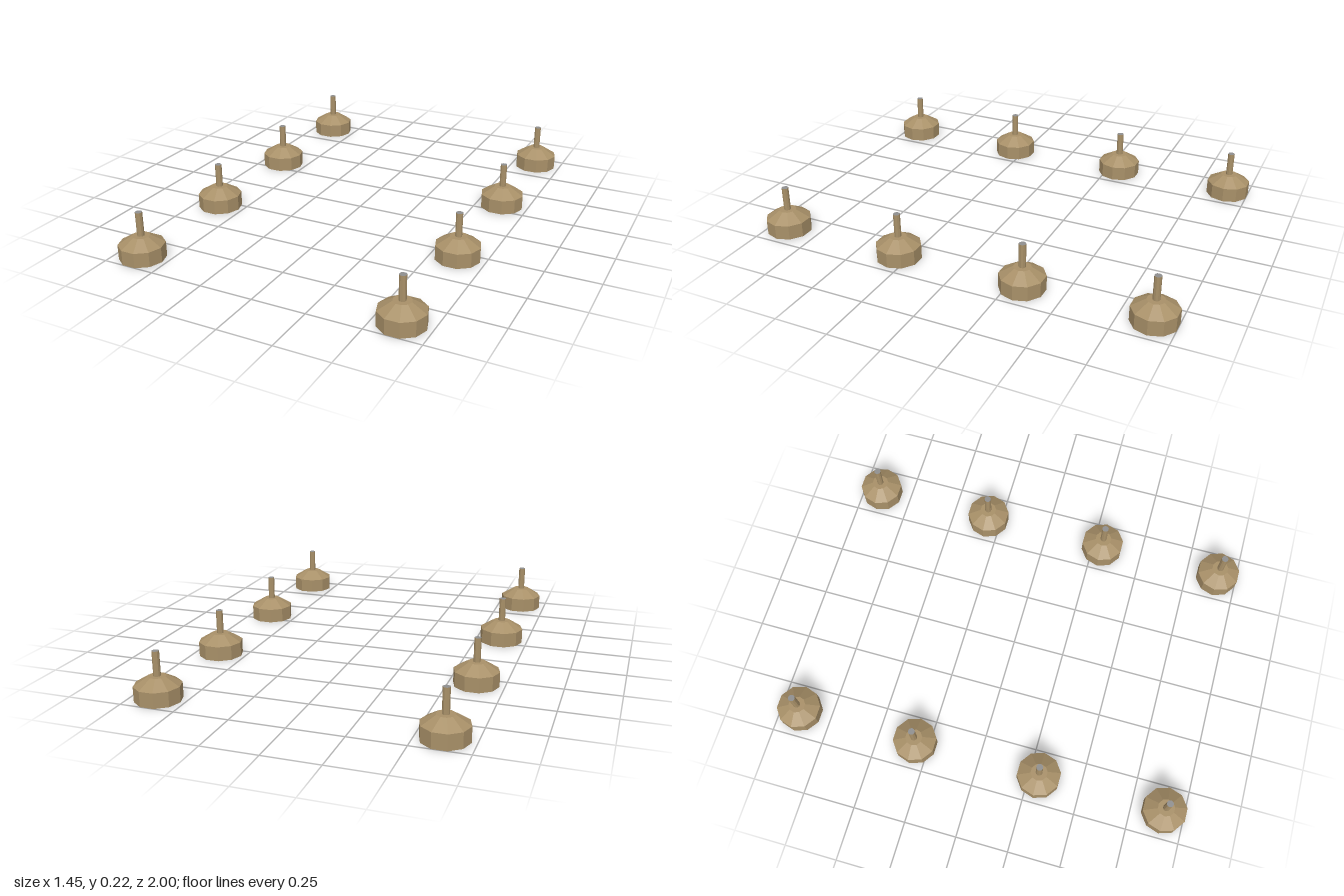
import * as THREE from 'three';

const SIDES = 10;

export function createModel() {
  const model = new THREE.Group();
  model.name = 'levellingFeet';

  const tan = new THREE.MeshStandardMaterial({ color: 0xa89068, flatShading: true });
  tan.name = 'tan metal';
  const grey = new THREE.MeshStandardMaterial({ color: 0x8f8f8f, flatShading: true });
  grey.name = 'grey end face';

  // Side walls: upright rim, sloped shoulder, flat collar, thin stem
  const profile = [[0.104, 0], [0.104, 0.069], [0.04, 0.108], [0.016, 0.108]]
    .map(([r, y]) => new THREE.Vector2(r, y));
  const baseGeo = new THREE.LatheGeometry(profile, SIDES, Math.PI / 2);
  const stemGeo = new THREE.CylinderGeometry(0.016, 0.016, 0.112, SIDES, 1, true)
    .rotateY(Math.PI / 2).translate(0, 0.164, 0);

  // Grey end faces: underside pad and stem tip
  const padGeo = new THREE.CircleGeometry(0.104, SIDES).rotateX(Math.PI / 2);
  const tipGeo = new THREE.CircleGeometry(0.016, SIDES).rotateX(-Math.PI / 2).translate(0, 0.22, 0);

  const parts = [
    ['base', baseGeo, tan],
    ['stem', stemGeo, tan],
    ['undersidePad', padGeo, grey],
    ['stemTip', tipGeo, grey],
  ];

  // Two mirrored rows of four feet
  for (const side of [-1, 1]) {
    [0.901, 0.296, -0.315, -0.901].forEach((z, i) => {
      const foot = new THREE.Group();
      foot.name = `${side > 0 ? 'left' : 'right'}Foot${i + 1}`;
      for (const [name, geometry, material] of parts) {
        const mesh = new THREE.Mesh(geometry, material);
        mesh.name = name;
        foot.add(mesh);
      }
      foot.position.set(side * 0.623, 0, z);
      model.add(foot);
    });
  }
  return model;
}
